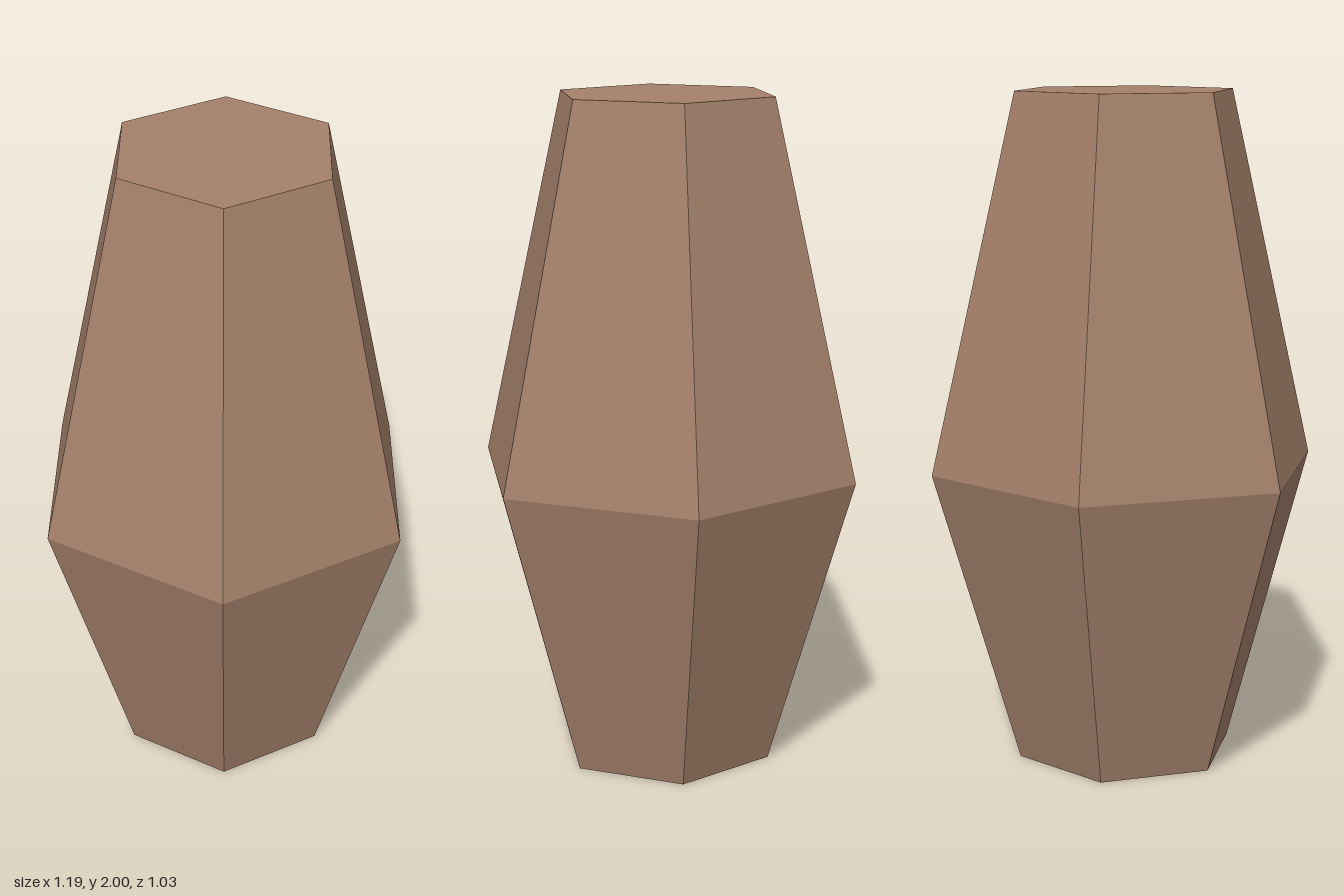
import * as THREE from 'three';

export function createModel() {
  const model = new THREE.Group();
  model.name = 'hexagonalCoffin';

  const wood = new THREE.MeshStandardMaterial({ color: 0xa5816b, flatShading: true });
  wood.name = 'warm brown';

  // Profile from the centre of the base, out to the widest ring, to the centre of the top
  const profile = [[0, 0], [0.333, 0], [0.593, 0.89], [0.333, 2], [0, 2]]
    .map(([r, y]) => new THREE.Vector2(r, y));

  // Six-sided tapered body with two corners on the x axis
  const body = new THREE.Mesh(new THREE.LatheGeometry(profile, 6, Math.PI / 2), wood);
  body.name = 'body';
  model.add(body);

  // Name the whole by its shape
  model.name = 'hexagonalBarrel';
  return model;
}
